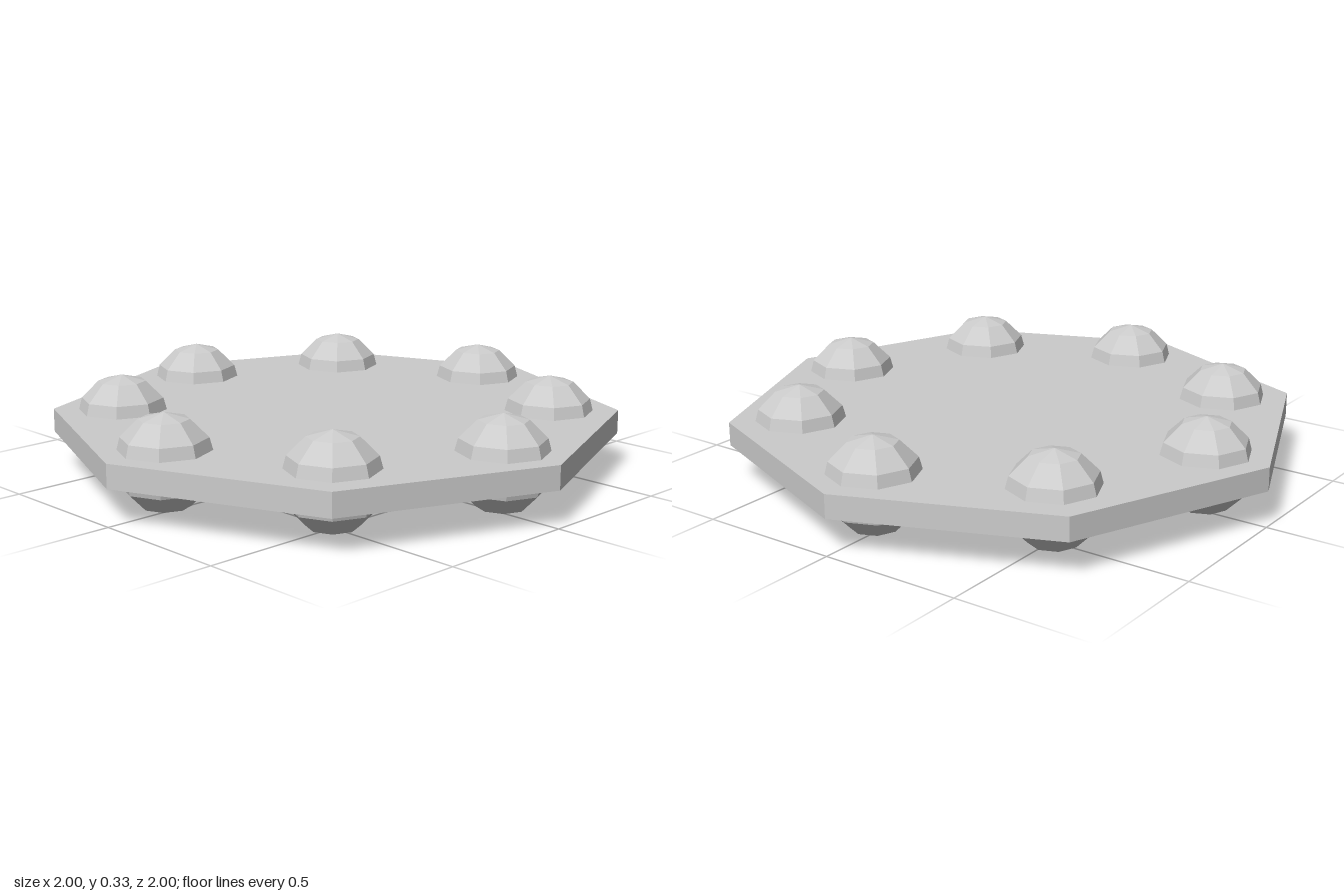
import * as THREE from 'three';

export function createModel() {
  const model = new THREE.Group();
  const material = new THREE.MeshStandardMaterial({ color: 0xcccccc, flatShading: true });
  const midHeight = 0.167;

  // Thin eight-sided plate, corners on the axes
  const plate = new THREE.Mesh(new THREE.CylinderGeometry(1, 1, 0.083, 8), material);
  plate.name = 'plate';
  plate.position.y = midHeight;
  model.add(plate);

  // Ring of low-poly balls set through the plate
  const balls = new THREE.Group();
  balls.name = 'balls';
  const ballGeometry = new THREE.SphereGeometry(0.167, 8, 6);
  const axis = 0.767, diagonal = 0.533;
  for (let i = 0; i < 8; i++) {
    const angle = (i * Math.PI) / 4;
    const radius = i % 2 ? diagonal * Math.SQRT2 : axis;
    const ball = new THREE.Mesh(ballGeometry, material);
    ball.name = 'ball' + (i + 1);
    ball.position.set(Math.cos(angle) * radius, midHeight, Math.sin(angle) * radius);
    balls.add(ball);
  }
  model.add(balls);

  return model;
}
